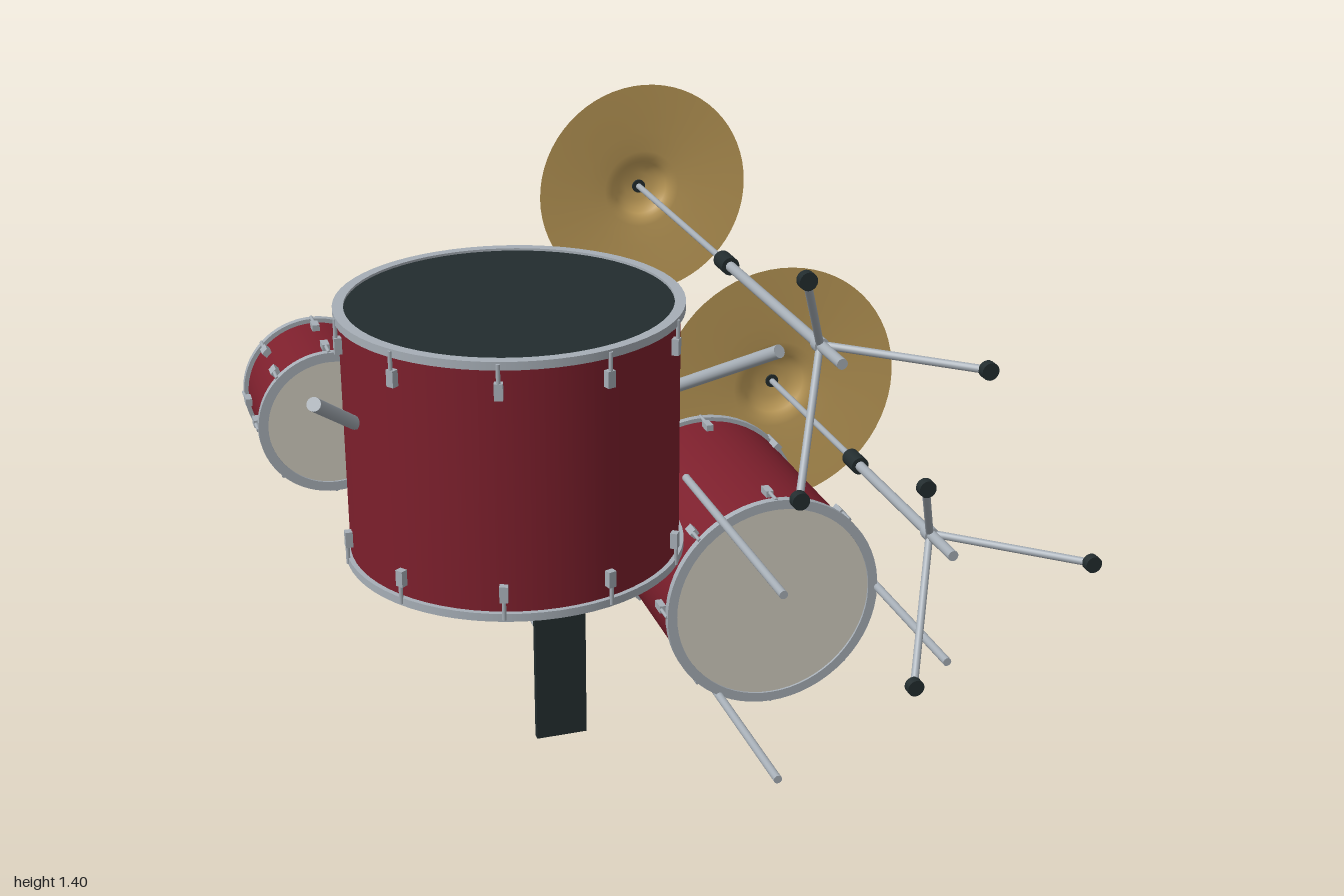
import * as THREE from 'three';

const mat = (name, color) => {
  const m = new THREE.MeshStandardMaterial({ color });
  m.name = name;
  return m;
};

export function createModel() {
  const red = mat('shellRed', 0x7c1f2c);
  const chrome = mat('chrome', 0xa6aeb6);
  const cream = mat('headCream', 0xd2cdc0);
  const black = mat('black', 0x222c2e);
  const brass = mat('brass', 0xc6a25c);
  brass.side = THREE.DoubleSide;

  const root = new THREE.Group();
  root.name = 'drumKit';
  const V = (x, y, z) => new THREE.Vector3(x, y, z);

  function group(name, parent = root) {
    const g = new THREE.Group();
    g.name = name;
    parent.add(g);
    return g;
  }
  function add(parent, name, geo, material, x = 0, y = 0, z = 0) {
    const m = new THREE.Mesh(geo, material);
    m.name = name;
    m.position.set(x, y, z);
    parent.add(m);
    return m;
  }
  // Round bar between two points
  function bar(parent, name, a, b, r, material = chrome, sides = 16) {
    const d = b.clone().sub(a);
    const m = add(parent, name, new THREE.CylinderGeometry(r, r, d.length(), sides), material);
    m.position.copy(a).addScaledVector(d, 0.5);
    m.quaternion.setFromUnitVectors(V(0, 1, 0), d.normalize());
    return m;
  }

  // Drum standing on its local y axis: shell, hoops, heads and lugs
  function drum(name, r, length, lugs, topHead, bottomHead) {
    const g = group(name);
    const half = length / 2, hoop = 0.02;
    add(g, 'shell', new THREE.CylinderGeometry(r, r, length - 0.03, 64, 1, true), red);
    const ring = [[r - 0.014, -0.5], [r + 0.012, -0.5], [r + 0.012, 0.5], [r - 0.014, 0.5], [r - 0.014, -0.5]];
    // Each corner is doubled so the hoop edges stay sharp
    const pts = ring.flatMap(([x, y]) => [0, 1].map(() => new THREE.Vector2(x, y * hoop))).slice(1, -1);
    for (const s of [1, -1]) {
      add(g, 'hoop', new THREE.LatheGeometry(pts, 64), chrome, 0, s * (half - hoop / 2), 0);
      add(g, 'head', new THREE.CylinderGeometry(r - 0.008, r - 0.008, 0.012, 64),
        s > 0 ? topHead : bottomHead, 0, s * (half - 0.012), 0);
      for (let i = 0; i < lugs; i++) {
        const a = (i / lugs) * Math.PI * 2;
        const lug = group('lug', g);
        lug.rotation.y = a;
        add(lug, 'lugCasing', new THREE.BoxGeometry(0.018, 0.04, 0.02), chrome, r + 0.008, s * (half - 0.07), 0);
        add(lug, 'tensionRod', new THREE.CylinderGeometry(0.005, 0.005, 0.06, 8), chrome, r + 0.012, s * (half - 0.035), 0);
      }
    }
    return g;
  }

  // Bass drum with its axis along y
  drum('bassDrum', 0.403, 0.635, 10, black, cream).position.set(-0.455, 0.925, 0.475);

  // Drums with their axis along z
  for (const [name, r, len, x, y, z] of [
    ['floorTom', 0.283, 0.605, 0.25, 0.312, 0.138],
    ['smallTom', 0.188, 0.3, -0.785, 0.705, -0.34],
    ['largeTom', 0.202, 0.335, -0.222, 0.732, -0.343],
  ]) {
    const d = drum(name, r, len, 8, cream, cream);
    d.rotation.x = Math.PI / 2;
    d.position.set(x, y, z);
  }

  // Arms carrying the two toms
  const arms = group('tomArms');
  bar(arms, 'tomArm', V(-0.51, 0.875, 0.1), V(-0.715, 0.745, -0.2), 0.02);
  bar(arms, 'tomArm', V(-0.415, 0.875, 0.1), V(-0.275, 0.745, -0.19), 0.02);

  // Bass drum spurs
  for (const s of [-1, 1])
    bar(root, 'spur', V(-0.455 + s * 0.395, 1.01, 0.56), V(-0.455 + s * 0.53, 1.19, 0.862), 0.016);

  // Floor tom legs, 120 degrees apart
  for (let i = 0; i < 3; i++) {
    const a = (i * 2 * Math.PI) / 3;
    const x = 0.25 + Math.cos(a) * 0.296, y = 0.312 + Math.sin(a) * 0.296;
    bar(root, 'floorTomLeg', V(x, y, 0.15), V(x, y, 0.868), 0.011);
  }

  // Kick pedal: base plate, slatted footboard, posts and beater
  const pedal = group('kickPedal');
  add(pedal, 'basePlate', new THREE.BoxGeometry(0.12, 0.315, 0.018), black, -0.455, 0.453, 0.876);
  const board = group('footboard', pedal);
  board.position.set(-0.455, 0.435, 0.85);
  board.rotation.x = -0.04;
  add(board, 'board', new THREE.BoxGeometry(0.085, 0.24, 0.008), chrome);
  for (let i = 0; i < 8; i++)
    add(board, 'slat', new THREE.BoxGeometry(0.07, 0.012, 0.006), black, 0, -0.1 + i * 0.029, -0.006);
  for (const s of [-1, 1])
    bar(pedal, 'post', V(-0.455 + s * 0.045, 0.57, 0.87), V(-0.455 + s * 0.045, 0.57, 0.73), 0.008);
  bar(pedal, 'axle', V(-0.505, 0.57, 0.735), V(-0.405, 0.57, 0.735), 0.008);
  bar(pedal, 'beaterShaft', V(-0.455, 0.57, 0.8), V(-0.455, 0.588, 0.51), 0.006);
  bar(pedal, 'beater', V(-0.455, 0.575, 0.51), V(-0.455, 0.608, 0.51), 0.03, cream, 24);

  // Cymbal on a three-legged stand, its pole along z
  function cymbalStand(name, x, y, edgeZ, r, sleeveZ) {
    const g = group(name);
    g.position.set(x, y, 0);
    bar(g, 'lowerPole', V(0, 0, 0.73), V(0, 0, sleeveZ), 0.014);
    bar(g, 'upperPole', V(0, 0, sleeveZ), V(0, 0, edgeZ - 0.065), 0.009);
    bar(g, 'sleeve', V(0, 0, sleeveZ + 0.034), V(0, 0, sleeveZ - 0.034), 0.025, black, 20);
    bar(g, 'legHub', V(0, 0, 0.605), V(0, 0, 0.575), 0.02);
    for (let i = 0; i < 3; i++) {
      const a = (i * 2 * Math.PI) / 3, c = Math.cos(a) * 0.313, s = Math.sin(a) * 0.313;
      bar(g, 'standLeg', V(0, 0, 0.59), V(c, s, 0.868), 0.01);
      bar(g, 'foot', V(c, s, 0.86), V(c, s, 0.882), 0.022, black, 20);
    }
    // Bow rises gently from the edge to a raised bell
    const profile = [[1, 0], [0.8, 0.004], [0.55, 0.01], [0.36, 0.015], [0.29, 0.019],
      [0.25, 0.03], [0.2, 0.042], [0.13, 0.049], [0.03, 0.052]]
      .map(([k, h]) => new THREE.Vector2(k * r, h));
    const cymbal = add(g, 'cymbal', new THREE.LatheGeometry(profile, 64), brass, 0, 0, edgeZ);
    cymbal.rotation.x = -Math.PI / 2;
    bar(g, 'felt', V(0, 0, edgeZ - 0.045), V(0, 0, edgeZ - 0.066), 0.02, black, 20);
    bar(g, 'wingNut', V(0, 0, edgeZ - 0.072), V(0, 0, edgeZ - 0.08), 0.024, black, 20);
  }
  cymbalStand('crashCymbal', 0.29, 1.085, -0.812, 0.324, -0.076);
  cymbalStand('rideCymbal', 0.615, 0.53, -0.488, 0.377, 0.108);

  return root;
}
